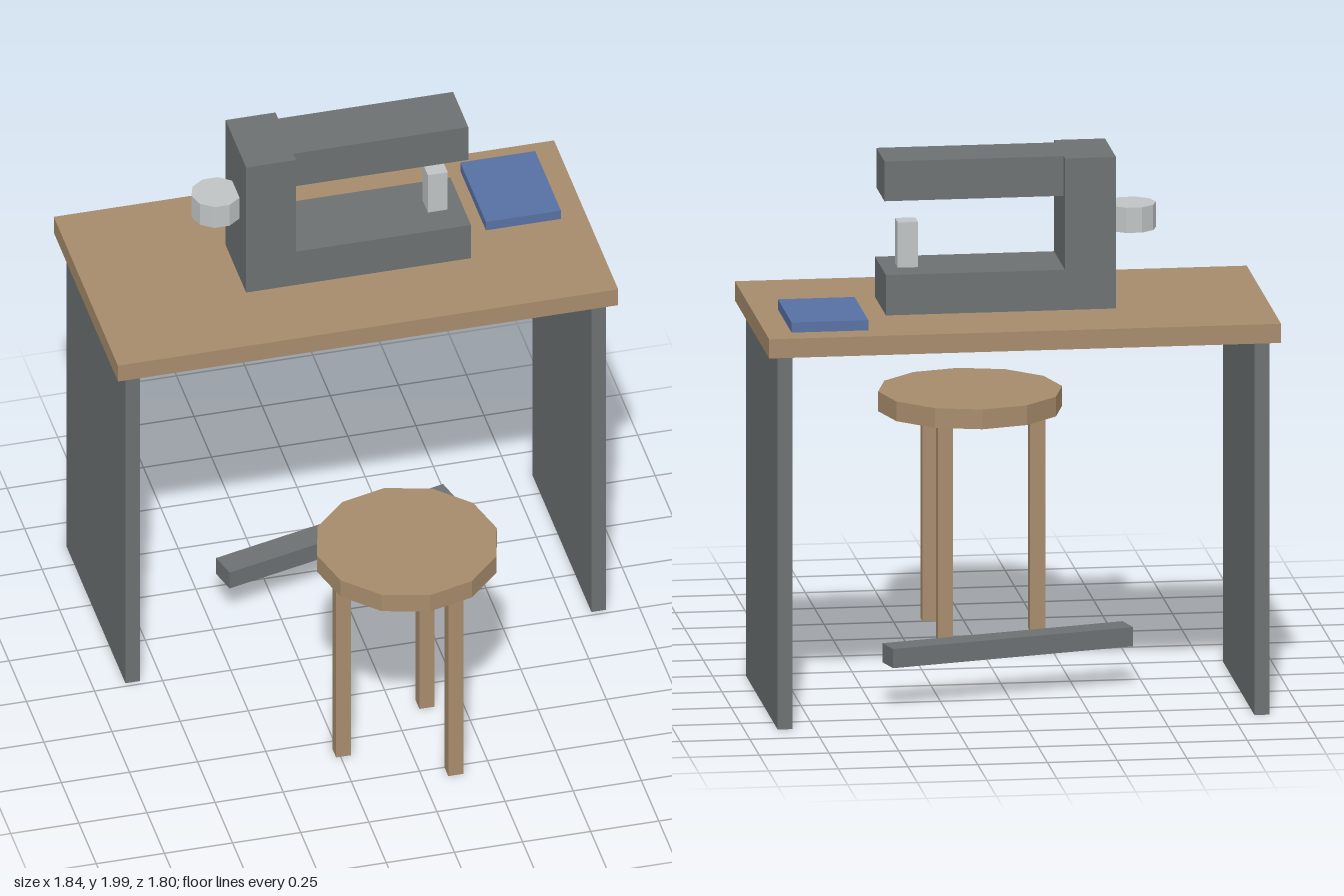
import * as THREE from 'three';

const material = (name, color) => {
  const m = new THREE.MeshStandardMaterial({ color });
  m.name = name;
  return m;
};

export function createModel() {
  const model = new THREE.Group();
  model.name = 'sewingStation';
  const wood = material('wood', 0xa78b6b);
  const iron = material('iron grey', 0x6c7072);
  const steel = material('light steel', 0xbfc3c4);
  const cloth = material('blue cloth', 0x5771a3);

  const add = (parent, name, geometry, mat, x, y, z) => {
    const mesh = new THREE.Mesh(geometry, mat);
    mesh.name = name;
    mesh.position.set(x, y, z);
    parent.add(mesh);
    return mesh;
  };
  // Box given by its extents along each axis
  const box = (parent, name, mat, [x0, x1], [y0, y1], [z0, z1]) =>
    add(parent, name, new THREE.BoxGeometry(x1 - x0, y1 - y0, z1 - z0), mat,
      (x0 + x1) / 2, (y0 + y1) / 2, (z0 + z1) / 2);
  const group = (name) => {
    const g = new THREE.Group();
    g.name = name;
    model.add(g);
    return g;
  };

  // Table: top, two side panels and a slightly turned foot bar
  const table = group('table');
  box(table, 'tableTop', wood, [-0.918, 0.918], [1.365, 1.435], [-0.903, 0.015]);
  box(table, 'rightPanel', iron, [-0.882, -0.828], [0, 1.365], [-0.862, -0.018]);
  box(table, 'leftPanel', iron, [0.828, 0.882], [0, 1.365], [-0.862, -0.018]);
  const bar = box(table, 'footBar', iron, [-0.46, 0.46], [0.15, 0.22], [-0.49, -0.39]);
  bar.rotation.y = 0.25;

  // Sewing machine
  const machine = group('machine');
  box(machine, 'machineBase', iron, [-0.185, 0.457], [1.435, 1.582], [-0.588, -0.295]);
  box(machine, 'machineColumn', iron, [-0.368, -0.185], [1.435, 1.988], [-0.588, -0.295]);
  box(machine, 'machineArm', iron, [-0.185, 0.457], [1.843, 1.988], [-0.55, -0.333]);
  box(machine, 'needleBlock', steel, [0.327, 0.4], [1.582, 1.747], [-0.478, -0.405]);
  const wheel = new THREE.CylinderGeometry(0.09, 0.09, 0.092, 10, 1, false, Math.PI / 2).toNonIndexed();
  wheel.computeVertexNormals();
  add(machine, 'handWheel', wheel, steel, -0.441, 1.741, -0.442);

  // Folded fabric on the table
  box(model, 'foldedCloth', cloth, [0.55, 0.825], [1.435, 1.472], [-0.81, -0.443]);

  // Stool with three legs
  const stool = group('stool');
  const seat = new THREE.CylinderGeometry(0.33, 0.33, 0.072, 12).toNonIndexed();
  seat.computeVertexNormals();
  add(stool, 'stoolSeat', seat, wood, 0, 0.85, 0.57);
  for (let i = 0; i < 3; i++) {
    const a = Math.PI * (1 / 3 + (2 * i) / 3);
    add(stool, 'stoolLeg', new THREE.BoxGeometry(0.055, 0.815, 0.055), wood,
      0.239 * Math.cos(a), 0.4075, 0.57 + 0.239 * Math.sin(a));
  }
  return model;
}
